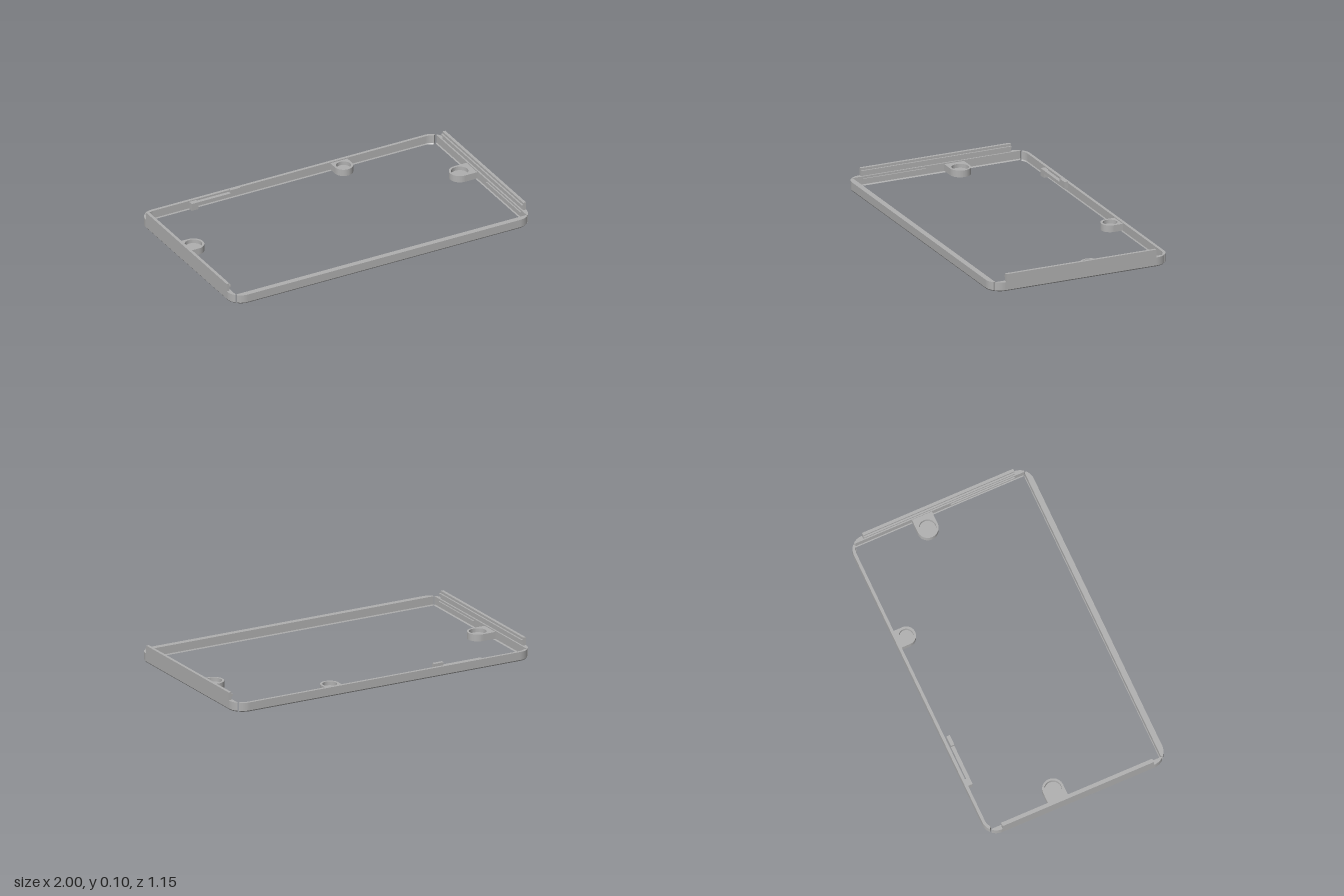
import * as THREE from 'three';

const W = 1, D = 0.577, H = 0.056, R = 0.09; // half width, half depth, wall height, corner radius

export function createModel() {
  const model = new THREE.Group();
  model.name = 'bezelFrame';
  const grey = new THREE.MeshStandardMaterial({ color: 0xb0b0b0 });
  grey.name = 'grey plastic';
  const rad = THREE.MathUtils.degToRad;

  const add = (name, geometry, parent = model) => {
    const mesh = new THREE.Mesh(geometry, grey);
    mesh.name = name;
    parent.add(mesh);
    return mesh;
  };
  // Box given by its minimum and maximum corners
  const box = (name, x0, x1, y0, y1, z0, z1, parent) => {
    const g = new THREE.BoxGeometry(x1 - x0, y1 - y0, z1 - z0);
    g.translate((x0 + x1) / 2, (y0 + y1) / 2, (z0 + z1) / 2);
    return add(name, g, parent);
  };
  // Upright extrusion of a plan shape (shape y points to the back)
  const upright = (shape, y0, y1, steps = 1) => {
    const g = new THREE.ExtrudeGeometry(shape, { depth: y1 - y0, steps, bevelEnabled: false, curveSegments: 20 });
    g.rotateX(-Math.PI / 2);
    g.translate(0, y0, 0);
    return g;
  };
  // Wall with its bottom edge drawn in slightly
  const wall = (name, shape, parent) => {
    const g = upright(shape, 0, H, 8);
    const p = g.attributes.position;
    for (let i = 0; i < p.count; i++) {
      if (p.getY(i) < 0.001) p.setXYZ(i, p.getX(i) * 0.995, 0, p.getZ(i) * 0.993);
    }
    g.computeVertexNormals();
    return add(name, g, parent);
  };

  // Long walls, curling into the corners and stopping short of the side walls
  const longWall = (inner) => {
    const s = new THREE.Shape();
    s.absarc(W - R, D - R, R, rad(48), rad(90), false);
    s.absarc(R - W, D - R, R, rad(90), rad(132), false);
    inner(s);
    s.closePath();
    return s;
  };
  wall('backWall', longWall((s) => {
    s.absarc(R - W, D - R, R - 0.018, rad(130), rad(90), true);
    s.absarc(W - R, D - R, R - 0.018, rad(90), rad(50), true);
  }));
  wall('frontWall', longWall((s) => {
    s.lineTo(-0.967, 0.543);
    s.lineTo(0.967, 0.543);
  })).rotation.y = Math.PI;

  // Side walls with a raised fin and its inner lip
  for (const [side, turn] of [['left', 0], ['right', Math.PI]]) {
    const g = new THREE.Group();
    g.name = side + 'Side';
    g.rotation.y = turn;
    model.add(g);
    const s = new THREE.Shape();
    s.absarc(W - R, R - D, R, rad(-42), 0, false);
    s.absarc(W - R, D - R, R, 0, rad(42), false);
    s.lineTo(0.972, 0.54);
    s.lineTo(0.972, -0.54);
    s.closePath();
    wall(side + 'Wall', s, g);
    box(side + 'Fin', 0.982, W, H, 0.105, -0.485, 0.485, g);
    box(side + 'FinLip', 0.972, 0.982, 0.08, 0.091, -0.485, 0.485, g);
    // Short rail in front of the lug
    const x = turn ? -0.972 : 0.964;
    box(side + 'Rail', x, x + 0.008, 0.033, 0.044, 0.07, 0.48);
  }

  // Lugs with a round blind recess
  const lug = (name, r, hole, reach, x, z, turn) => {
    const g = new THREE.Group();
    g.name = name;
    g.position.set(x, 0, z);
    g.rotation.y = turn;
    model.add(g);
    const outline = () => {
      const s = new THREE.Shape();
      s.moveTo(-r, reach);
      s.lineTo(-r, 0);
      s.absarc(0, 0, r, Math.PI, 2 * Math.PI, false);
      s.lineTo(r, reach);
      s.closePath();
      return s;
    };
    const rim = outline();
    rim.holes.push(new THREE.Path().absarc(0, 0, hole, 0, 2 * Math.PI, true));
    add(name + 'Floor', upright(outline(), 0.008, 0.026), g);
    add(name + 'Rim', upright(rim, 0.026, 0.05), g);
  };
  lug('leftLug', 0.064, 0.051, 0.085, 0.89, -0.113, -Math.PI / 2);
  lug('rightLug', 0.064, 0.051, 0.085, -0.89, -0.113, Math.PI / 2);
  lug('backLug', 0.057, 0.043, 0.06, 0.33, -0.503, 0);

  // Spring clip on the back wall: root block, thin arm and raised tip
  box('clipRoot', -0.67, -0.625, 0.004, 0.05, -0.563, -0.529);
  box('clipArm', -0.625, -0.41, 0.03, 0.05, -0.551, -0.529);
  box('clipTip', -0.41, -0.345, 0.03, 0.071, -0.551, -0.529);

  return model;
}
